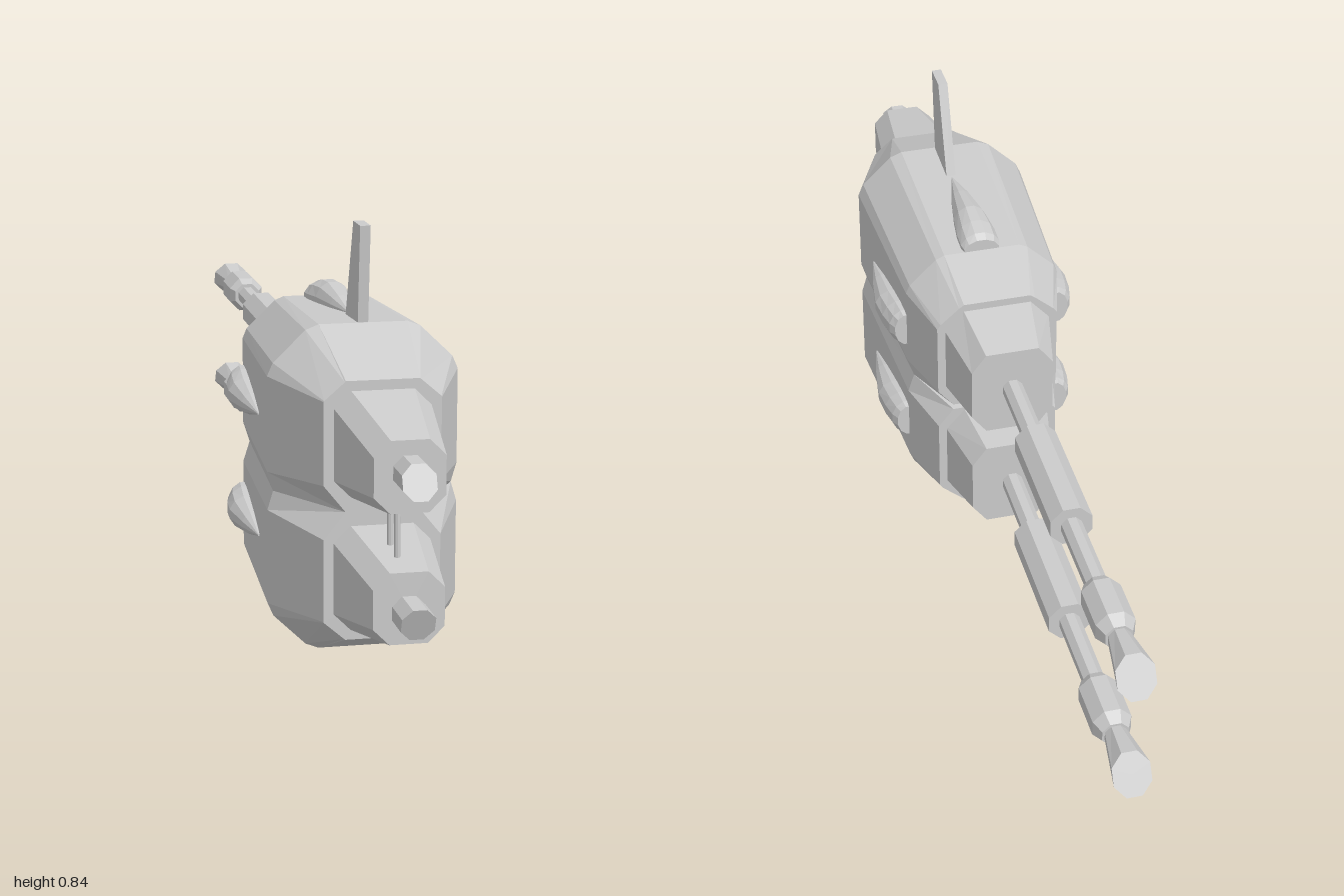
import * as THREE from 'three';

const material = new THREE.MeshStandardMaterial({ color: 0xcccccc, flatShading: true });
const MID = 0.344; // height of the seam between the two pods

// Skin over closed rings of [x, y, z], ordered front to back, clockwise from the front
function loft(name, rings) {
  const pos = [];
  const n = rings[0].length;
  const centre = (r) => [0, 1, 2].map((k) => r.reduce((s, p) => s + p[k], 0) / n);
  const first = rings[0], last = rings[rings.length - 1];
  const cf = centre(first), cb = centre(last);
  for (let j = 0; j < n; j++) {
    const k = (j + 1) % n;
    for (let i = 0; i < rings.length - 1; i++) {
      const a = rings[i][j], b = rings[i][k], c = rings[i + 1][k], d = rings[i + 1][j];
      pos.push(...a, ...b, ...c, ...a, ...c, ...d);
    }
    pos.push(...cf, ...first[k], ...first[j], ...cb, ...last[j], ...last[k]);
  }
  const geo = new THREE.BufferGeometry();
  geo.setAttribute('position', new THREE.Float32BufferAttribute(pos, 3));
  geo.computeVertexNormals();
  const mesh = new THREE.Mesh(geo, material);
  mesh.name = name;
  return mesh;
}

// Symmetric ring from its right half, listed top to bottom
function mirrored(z, half) {
  const right = half.map(([x, y]) => [x, y, z]);
  return [...right, ...right.map(([x, y]) => [-x, y, z]).reverse()];
}

// Chamfered rectangle: half width, top, bottom, chamfer in x, chamfer in y
function octagon(z, w, top, bottom, cx, cy) {
  return mirrored(z, [[w - cx, top], [w, top - cy], [w, bottom + cy], [w - cx, bottom]]);
}

// Regular ring around a line parallel to z; slant tilts its plane
function circle(z, r, y, slant = 0, n = 8) {
  return Array.from({ length: n }, (_, i) => {
    const a = ((i + 0.5) / n) * Math.PI * 2;
    const dy = Math.cos(a) * r;
    return [Math.sin(a) * r, y + dy, z + slant * dy];
  });
}

// Blister that tapers to a point forwards, bulging towards +y
function fairing(name) {
  const sections = [[0.41, 0.002, 0.002, 0.012], [0.33, 0.022, 0.024, 0.008], [0.25, 0.036, 0.04, 0.004],
    [0.2, 0.042, 0.04, 0], [0.165, 0.042, 0.034, -0.002], [0.15, 0.038, 0.026, -0.003]];
  return loft(name, sections.map(([z, w, h, y]) =>
    circle(z, 1, 0, 0, 12).map(([x, v]) => [x * w, y + v * h, z])));
}

function createPod(name) {
  const pod = new THREE.Group();
  pod.name = name;

  // Armoured hull with bevelled corners and a flat underside on the seam
  pod.add(loft('hull', [
    mirrored(0.70, [[0.069, 0.589], [0.071, 0.587], [0.109, 0.554], [0.11, 0.552], [0.11, 0.395], [0.069, MID]]),
    mirrored(0.53, [[0.085, 0.66], [0.11, 0.65], [0.172, 0.59], [0.183, 0.565], [0.183, 0.381], [0.172, MID]]),
    mirrored(0.15, [[0.08, 0.64], [0.098, 0.632], [0.155, 0.577], [0.163, 0.558], [0.163, 0.385], [0.15, MID]]),
    mirrored(0.02, [[0.07, 0.602], [0.08, 0.595], [0.12, 0.56], [0.127, 0.55], [0.127, 0.39], [0.095, 0.35]]),
  ]));

  // Tapered nose and rear housing
  pod.add(loft('nose', [
    octagon(0.915, 0.065, 0.53, 0.398, 0.03, 0.03),
    octagon(0.69, 0.092, 0.572, 0.37, 0.032, 0.032),
  ]));
  pod.add(loft('rearHousing', [
    octagon(0.03, 0.112, 0.588, 0.355, 0.04, 0.045),
    octagon(-0.105, 0.085, 0.56, 0.368, 0.03, 0.04),
  ]));

  // Short muzzle with a slanted tip
  pod.add(loft('muzzle', [circle(0.986, 0.033, 0.472, -0.4), circle(0.9, 0.033, 0.472)]));

  // Blisters on both flanks and on the outer face
  const outer = fairing('outerFairing');
  outer.position.y = 0.642;
  pod.add(outer);
  for (const side of [-1, 1]) {
    const flank = fairing('sideFairing');
    flank.position.set(side * 0.166, 0.465, 0);
    flank.rotation.z = -side * Math.PI / 2;
    pod.add(flank);
  }
  return pod;
}

// Long rear boom with sleeve, collar and slanted flare
function createBoom(y) {
  const boom = new THREE.Group();
  boom.name = 'rearBoom';
  boom.add(loft('rod', [circle(-0.09, 0.022, y), circle(-0.75, 0.022, y)]));
  boom.add(loft('sleeve', [circle(-0.283, 0.045, y), circle(-0.55, 0.045, y)]));
  boom.add(loft('collar', [
    circle(-0.73, 0.03, y), circle(-0.75, 0.041, y), circle(-0.845, 0.041, y), circle(-0.87, 0.028, y),
  ]));
  boom.add(loft('flare', [circle(-0.865, 0.022, y), circle(-0.977, 0.04, y, 0.6)]));
  return boom;
}

export function createModel() {
  const model = new THREE.Group();
  model.name = 'twinPodCraft';

  // Upper pod and its mirror image below the seam
  const lower = createPod('lowerPod');
  lower.scale.y = -1;
  lower.position.y = 2 * MID;
  model.add(createPod('upperPod'), lower);
  model.add(createBoom(0.468), createBoom(0.222));

  // Swept fin on top
  const bar = (y, z0, z1) => [[-0.01, y, z1], [-0.01, y, z0], [0.01, y, z0], [0.01, y, z1]];
  model.add(loft('fin', [bar(0.845, 0.485, 0.545), bar(0.64, 0.415, 0.526)]));

  // Thin struts joining the noses
  for (const z of [0.79, 0.845]) {
    const strut = new THREE.Mesh(new THREE.CylinderGeometry(0.006, 0.006, 0.13, 8), material);
    strut.name = 'noseStrut';
    strut.position.set(-0.006, MID, z);
    model.add(strut);
  }
  return model;
}
